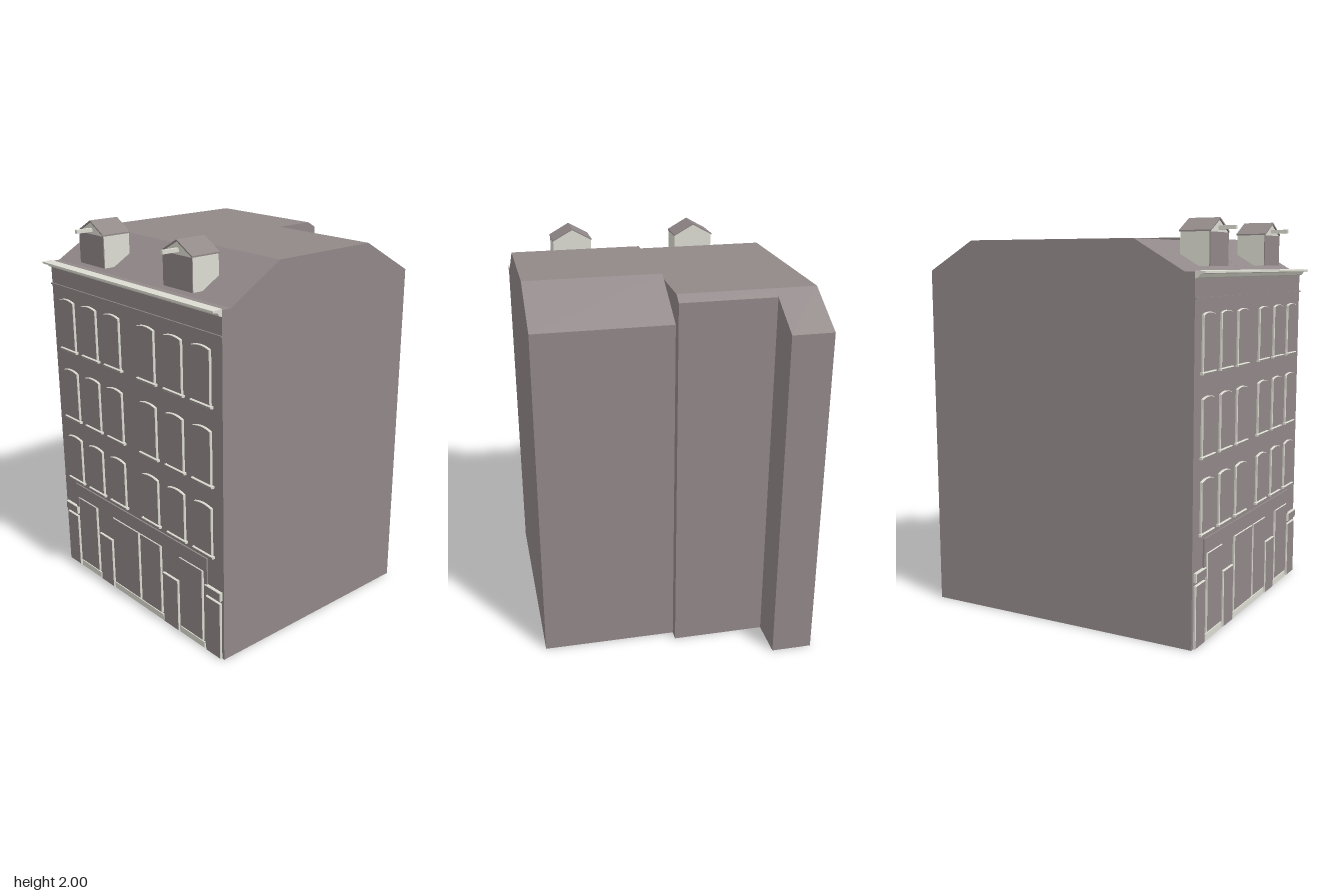
import * as THREE from 'three';

const stone = new THREE.MeshStandardMaterial({ color: 0x918888 });
stone.name = 'warm grey stone';
const cream = new THREE.MeshStandardMaterial({ color: 0xdcdcd2 });
cream.name = 'cream trim';

const FRONT = 0.72;

export function createModel() {
  const model = new THREE.Group();

  function add(name, geometry, material, parent = model) {
    const mesh = new THREE.Mesh(geometry, material);
    mesh.name = name;
    parent.add(mesh);
    return mesh;
  }

  function box(name, x0, x1, y0, y1, z0, z1, material, parent) {
    const g = new THREE.BoxGeometry(x1 - x0, y1 - y0, z1 - z0);
    g.translate((x0 + x1) / 2, (y0 + y1) / 2, (z0 + z1) / 2);
    return add(name, g, material, parent);
  }

  // Side profile of [z, y] points swept from x0 to x1; the outer right wall leans in to the front
  function sweep(name, profile, x0, x1, material) {
    const shape = new THREE.Shape(profile.map(([z, y]) => new THREE.Vector2(z, y)));
    const g = new THREE.ExtrudeGeometry(shape, { depth: x1 - x0, bevelEnabled: false });
    g.rotateY(-Math.PI / 2).translate(x1, 0, 0);
    const p = g.attributes.position;
    for (let i = 0; i < p.count; i++) {
      if (p.getX(i) < -0.65) p.setX(i, -0.69 + 0.01 * (p.getZ(i) + 0.77) / 1.49);
    }
    g.computeVertexNormals();
    return add(name, g, material);
  }

  // Raised facade panel: stone face, cream edges, optional shallow arch
  function panel(name, x0, x1, y0, y1, arch = 0, depth = 0.012) {
    const b = 0.003;
    const s = new THREE.Shape();
    s.moveTo(x0 + b, y0 + b);
    s.lineTo(x1 - b, y0 + b);
    s.lineTo(x1 - b, y1 - b - arch);
    if (arch) s.quadraticCurveTo((x0 + x1) / 2, y1 - b + arch, x0 + b, y1 - b - arch);
    else s.lineTo(x0 + b, y1 - b);
    s.closePath();
    const g = new THREE.ExtrudeGeometry(s, {
      depth: depth - b, bevelThickness: b, bevelSize: b, bevelSegments: 1, curveSegments: 6,
    });
    g.translate(0, 0, FRONT);
    return add(name, g, [stone, cream]);
  }

  // Two adjoining houses and the narrow rear wing
  sweep('leftHouse', [
    [FRONT, 0], [FRONT, 1.75], [0.67, 1.75], [0.38, 1.92], [-0.21, 1.92], [-0.505, 1.75], [-0.505, 0],
  ], 0, 0.69, stone);
  sweep('rightHouse', [
    [FRONT, 0], [FRONT, 1.75], [0.67, 1.75], [0.41, 1.9], [-0.51, 1.9], [-0.56, 1.87], [-0.56, 0],
  ], -0.69, 0, stone);
  sweep('rearWing', [
    [-0.5, 0], [-0.5, 1.9], [-0.51, 1.9], [-0.77, 1.75], [-0.77, 0],
  ], -0.69, -0.48, stone);

  // Cornice and frieze line
  sweep('cornice', [
    [FRONT, 1.72], [0.735, 1.725], [0.745, 1.74], [0.77, 1.744], [0.77, 1.753], [FRONT, 1.756],
  ], -0.68, 0.69, cream);
  box('friezeBand', -0.68, 0.69, 1.628, 1.636, FRONT - 0.01, FRONT + 0.008, stone);

  // Three floors of arched windows with sills
  const columns = [-0.54, -0.338, -0.137, 0.143, 0.35, 0.552];
  for (const [y0, y1] of [[0.545, 0.8], [0.91, 1.185], [1.3, 1.57]]) {
    for (const x of columns) {
      panel('window', x - 0.064, x + 0.064, y0, y1, 0.01);
      panel('windowSill', x - 0.076, x + 0.076, y0 - 0.014, y0 - 0.002, 0, 0.017);
    }
  }

  // Shopfront: fascia, posts, display windows on cream plinths, doors
  box('shopFascia', -0.565, 0.575, 0.435, 0.51, FRONT - 0.01, FRONT + 0.008, stone);
  for (const x of [-0.565, 0.553]) {
    box('shopPost', x, x + 0.022, 0.37, 0.435, FRONT - 0.01, FRONT + 0.008, stone);
  }
  for (const [x0, x1] of [[-0.534, -0.36], [-0.206, 0.026], [0.04, 0.212], [0.365, 0.542]]) {
    panel('shopWindow', x0, x1, 0.04, 0.434);
    box('shopPlinth', x0 - 0.008, x1 + 0.008, 0, 0.033, FRONT - 0.01, FRONT + 0.008, cream);
  }
  for (const [x0, x1] of [[-0.34, -0.222], [0.228, 0.35]]) panel('shopDoor', x0, x1, 0, 0.29);
  for (const [x0, x1] of [[-0.66, -0.555], [0.567, 0.675]]) {
    panel('houseDoor', x0, x1, 0, 0.308);
    panel('doorHood', x0 - 0.004, x1 + 0.004, 0.325, 0.37, 0, 0.016);
  }

  // Gabled dormers with hoisting beams
  for (const x of [-0.341, 0.345]) {
    const dormer = new THREE.Group();
    dormer.name = 'dormer';
    dormer.position.x = x;
    model.add(dormer);
    const w = 0.105, eave = 1.935, ridge = 1.992, z0 = 0.53, z1 = 0.68;
    const gable = new THREE.Shape([
      [-w, 1.775], [w, 1.775], [w, eave], [0, ridge], [-w, eave],
    ].map(([a, b]) => new THREE.Vector2(a, b)));
    const body = new THREE.ExtrudeGeometry(gable, { depth: z1 - z0, bevelEnabled: false });
    add('dormerBody', body.translate(0, 0, z0), cream, dormer);
    box('dormerFront', -w, w, 1.775, eave - 0.003, z1, z1 + 0.005, stone, dormer);
    const slopes = new THREE.Shape([
      [-0.108, eave - 0.002], [0, ridge], [0.108, eave - 0.002], [0.108, eave + 0.005], [0, 2], [-0.108, eave + 0.005],
    ].map(([a, b]) => new THREE.Vector2(a, b)));
    const roof = new THREE.ExtrudeGeometry(slopes, { depth: 0.163, bevelEnabled: false });
    add('dormerRoof', roof.translate(0, 0, 0.524), stone, dormer);
    box('hoistBeam', -0.008, 0.008, 1.944, 1.962, z1, 0.77, cream, dormer);
  }

  return model;
}
